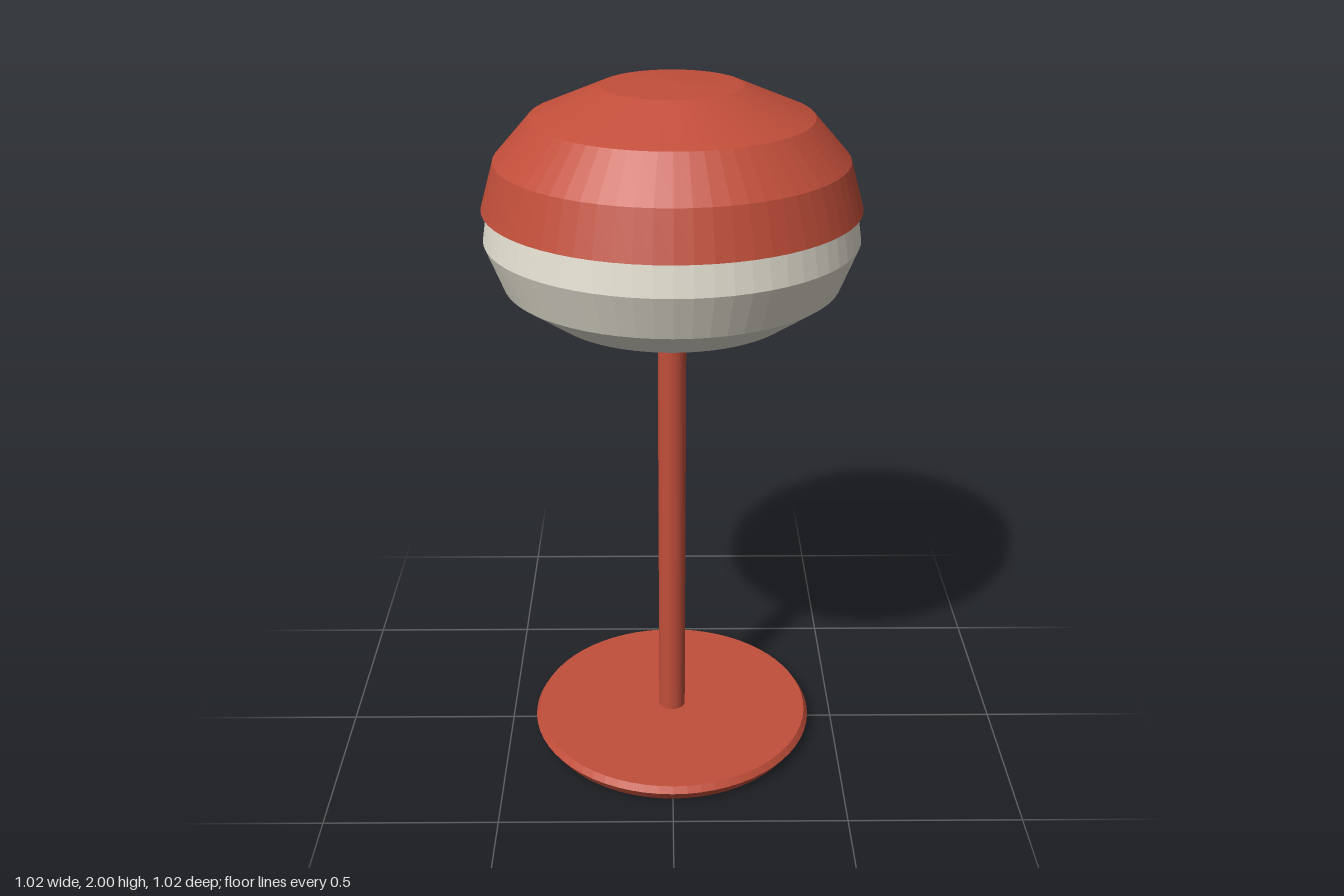
import * as THREE from 'three';

const SIDES = 64;

export function createModel() {
  const red = new THREE.MeshStandardMaterial({ color: 0xc14e3a, flatShading: true });
  red.name = 'brick red';
  const ivory = new THREE.MeshStandardMaterial({ color: 0xe2ded0, flatShading: true });
  ivory.name = 'ivory';

  const group = new THREE.Group();
  group.name = 'tableLamp';

  // Turned part: profile of [radius, height] listed from the bottom up
  function turn(name, profile, material, sides = SIDES) {
    const points = profile.map(([r, y]) => new THREE.Vector2(r, y));
    const mesh = new THREE.Mesh(new THREE.LatheGeometry(points, sides), material);
    mesh.name = name;
    group.add(mesh);
  }

  // Thin foot disc with bevelled rim
  turn('base', [[0, 0], [0.4, 0], [0.425, 0.036], [0.413, 0.055], [0, 0.055]], red);

  // Slim post running up into the diffuser
  turn('stem', [[0, 0.05], [0.04, 0.05], [0.04, 1.4], [0, 1.4]], red, 32);

  // Lower glass bowl
  turn('diffuser', [[0, 1.38], [0.34, 1.38], [0.46, 1.465], [0.508, 1.587], [0.493, 1.68], [0, 1.68]], ivory);

  // Domed cap with a small overhanging lip
  turn('cap', [[0, 1.672], [0.51, 1.672], [0.473, 1.8], [0.376, 1.91], [0.188, 1.99], [0, 2]], red);

  return group;
}
